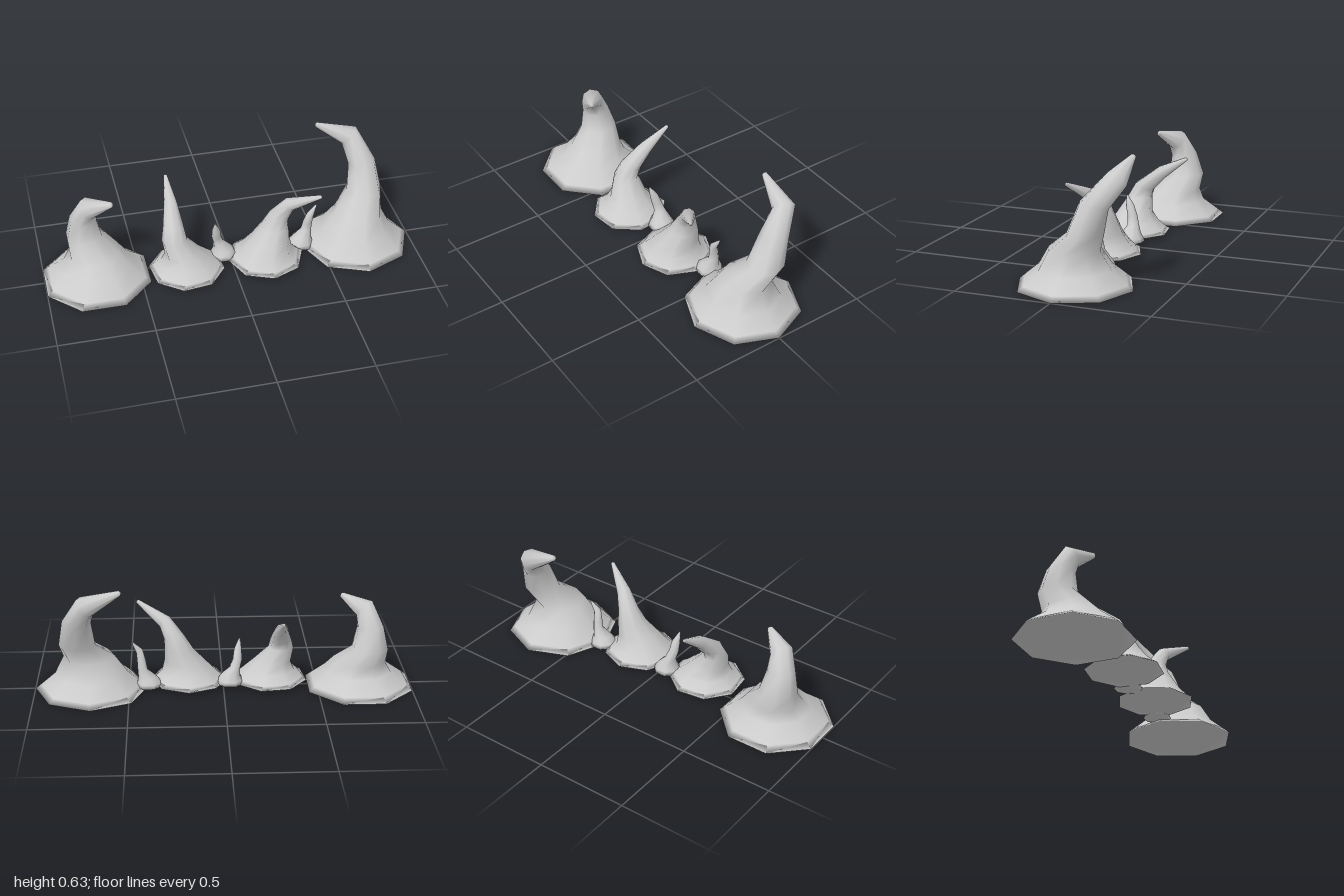
import * as THREE from 'three';

const SIDES = 8;
const UP = new THREE.Vector3(0, 1, 0);

// Lofts a closed octagonal horn through rings [x, y, z, radius]; the last rings lean with the path.
function horn(name, phase, rings) {
  const centres = rings.map(([x, y, z]) => new THREE.Vector3(x, y, z));
  const n = rings.length;
  const positions = [], index = [];
  const turn = new THREE.Quaternion();
  rings.forEach(([, , , r], i) => {
    const tangent = centres[Math.min(i + 1, n - 1)].clone().sub(centres[Math.max(i - 1, 0)]).normalize();
    const lean = i >= n - 2 ? 1 : i === n - 3 ? 0.4 : 0;
    turn.setFromUnitVectors(UP, UP.clone().lerp(tangent, lean).normalize());
    for (let s = 0; s < SIDES; s++) {
      const a = phase + (s / SIDES) * Math.PI * 2;
      const p = new THREE.Vector3(Math.cos(a) * r, 0, Math.sin(a) * r).applyQuaternion(turn).add(centres[i]);
      positions.push(p.x, p.y, p.z);
    }
  });

  // Side walls
  for (let i = 0; i < n - 1; i++) {
    for (let s = 0; s < SIDES; s++) {
      const t = (s + 1) % SIDES;
      const a = i * SIDES + s, b = i * SIDES + t;
      index.push(a, a + SIDES, b, b, a + SIDES, b + SIDES);
    }
  }

  // Flat underside and blunt rounded tip
  const last = centres[n - 1];
  const end = last.clone().sub(centres[n - 2]).normalize().multiplyScalar(rings[n - 1][3] * 0.6).add(last);
  const tip = positions.length / 3;
  positions.push(end.x, end.y, end.z);
  const top = (n - 1) * SIDES;
  for (let s = 0; s < SIDES; s++) index.push(top + s, tip, top + ((s + 1) % SIDES));
  for (let s = 1; s < SIDES - 1; s++) index.push(0, s, s + 1);

  const geometry = new THREE.BufferGeometry();
  geometry.setAttribute('position', new THREE.Float32BufferAttribute(positions, 3));
  geometry.setIndex(index);
  geometry.computeVertexNormals();
  const mesh = new THREE.Mesh(geometry, new THREE.MeshStandardMaterial({ color: 0xcccccc }));
  mesh.name = name;
  return mesh;
}

export function createModel() {
  const group = new THREE.Group();
  group.name = 'hornRow';
  group.add(
    // Large horns at both ends
    horn('largeRightHorn', Math.PI / 8, [
      [-0.725, 0, 0, 0.297], [-0.725, 0.025, 0, 0.265], [-0.72, 0.09, 0, 0.182], [-0.725, 0.15, -0.02, 0.14],
      [-0.77, 0.235, -0.07, 0.098], [-0.77, 0.35, -0.055, 0.072],
      [-0.742, 0.435, -0.02, 0.06], [-0.628, 0.488, 0.052, 0.015],
    ]),
    horn('largeLeftHorn', 0, [
      [0.7, 0, 0, 0.3], [0.7, 0.025, 0, 0.27], [0.7, 0.09, 0, 0.193], [0.71, 0.185, 0, 0.135],
      [0.765, 0.28, -0.08, 0.096], [0.76, 0.425, -0.125, 0.075],
      [0.71, 0.54, -0.218, 0.06], [0.53, 0.62, -0.235, 0.015],
    ]),
    // Medium horns
    horn('mediumRightHorn', Math.PI / 12, [
      [-0.25, 0.02, 0.06, 0.203], [-0.25, 0.035, 0.06, 0.178], [-0.25, 0.075, 0.06, 0.135],
      [-0.265, 0.12, 0.06, 0.1], [-0.31, 0.2, 0.045, 0.068], [-0.308, 0.26, 0.015, 0.056],
      [-0.302, 0.345, -0.085, 0.036], [-0.3, 0.43, -0.225, 0.01],
    ]),
    horn('mediumLeftHorn', 0, [
      [0.183, 0.02, 0.06, 0.205], [0.183, 0.035, 0.06, 0.178], [0.185, 0.075, 0.06, 0.14],
      [0.205, 0.13, 0.055, 0.108], [0.235, 0.2, 0.04, 0.077], [0.258, 0.265, 0.04, 0.055],
      [0.308, 0.345, 0.065, 0.038], [0.452, 0.43, 0.153, 0.011],
    ]),
    // Small horns in the gaps
    horn('smallRightHorn', Math.PI / 8, [
      [-0.037, 0.02, -0.005, 0.074], [-0.037, 0.04, -0.005, 0.066], [-0.04, 0.065, -0.005, 0.052],
      [-0.06, 0.105, -0.01, 0.03], [-0.075, 0.15, 0, 0.026],
      [-0.078, 0.2, 0.015, 0.022], [-0.088, 0.255, 0.035, 0.005],
    ]),
    horn('smallLeftHorn', Math.PI / 8, [
      [0.397, 0.015, -0.01, 0.074], [0.397, 0.035, -0.01, 0.066], [0.407, 0.065, -0.01, 0.048],
      [0.428, 0.105, -0.015, 0.028], [0.433, 0.15, -0.01, 0.025],
      [0.443, 0.205, 0, 0.02], [0.478, 0.257, -0.01, 0.005],
    ]),
  );
  return group;
}
